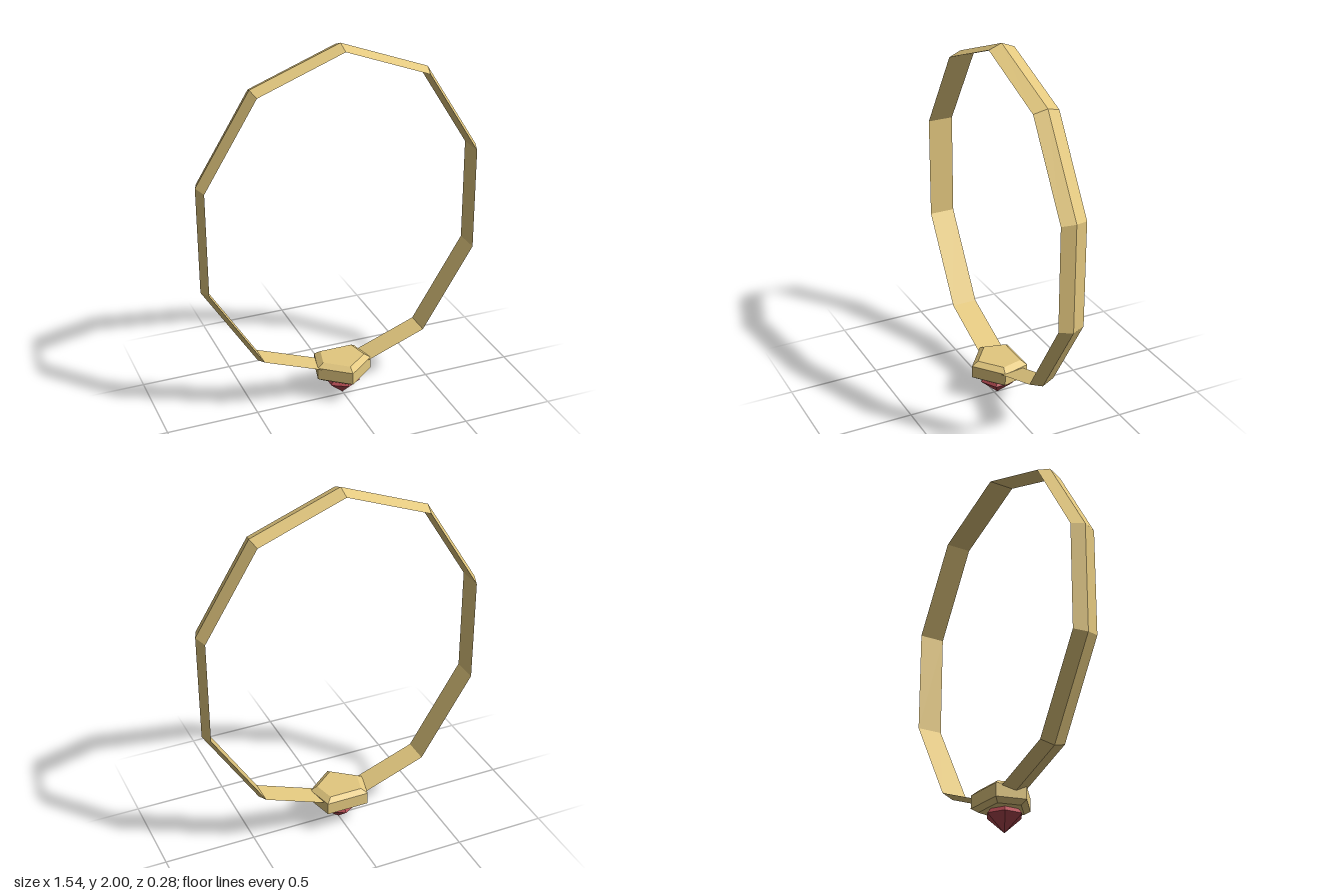
import * as THREE from 'three';

// Skins a list of cross-sections (each a loop of points); closes the run or caps its ends.
function skin(rows, loop = false) {
  const n = rows[0].length, pos = [];
  const tri = (...pts) => pts.forEach((p) => pos.push(...p));
  const spans = loop ? rows.length : rows.length - 1;
  for (let i = 0; i < spans; i++) {
    const a = rows[i], b = rows[(i + 1) % rows.length];
    for (let j = 0; j < n; j++) {
      const k = (j + 1) % n;
      tri(a[j], a[k], b[k]);
      tri(a[j], b[k], b[j]);
    }
  }
  if (!loop) {
    const a = rows[0], b = rows[rows.length - 1];
    for (let j = 1; j < n - 1; j++) {
      tri(a[0], a[j + 1], a[j]);
      tri(b[0], b[j], b[j + 1]);
    }
  }
  const g = new THREE.BufferGeometry();
  g.setAttribute('position', new THREE.Float32BufferAttribute(pos, 3));
  g.computeVertexNormals();
  return g;
}

// Stacks scaled copies of a horizontal outline; levels are [y, scale].
const stack = (outline, zc, levels) =>
  skin(levels.map(([y, s]) => outline.map(([x, z]) => [x * s, y, zc + (z - zc) * s])));

export function createModel() {
  const group = new THREE.Group();
  const gold = new THREE.MeshStandardMaterial({ color: 0xe3c87f, flatShading: true });
  const red = new THREE.MeshStandardMaterial({ color: 0xb04850, flatShading: true });
  const add = (name, geometry, material) => {
    const mesh = new THREE.Mesh(geometry, material);
    mesh.name = name;
    group.add(mesh);
  };

  // Ten-sided oval band: flat inside, ridged outside
  const sections = [];
  for (let i = 0; i < 10; i++) {
    const a = (i / 10) * Math.PI * 2;
    const at = (inset, z) => [Math.sin(a) * (0.81 - inset), 1.06 + Math.cos(a) * (0.94 - inset), z];
    sections.push([at(0.027, -0.11), at(0, -0.04), at(0.027, 0.03)]);
  }
  add('band', skin(sections, true), gold);

  // Five-sided setting with bevelled top and bottom
  const pentagon = [[0, 0.135], [0.155, 0.012], [0.118, -0.14], [-0.118, -0.14], [-0.155, 0.012]];
  add('setting', stack(pentagon, -0.026, [[0.113, 0.77], [0.135, 1], [0.203, 1], [0.226, 0.77]]), gold);

  // Six-sided pointed gem hanging below the setting
  const hexagon = [];
  for (let i = 0; i < 6; i++) {
    const a = (i / 6) * Math.PI * 2;
    hexagon.push([Math.sin(a) * 0.098, -0.018 + Math.cos(a) * 0.098]);
  }
  add('gem', stack(hexagon, -0.018, [[0, 0], [0.088, 1], [0.125, 0.7]]), red);

  return group;
}
